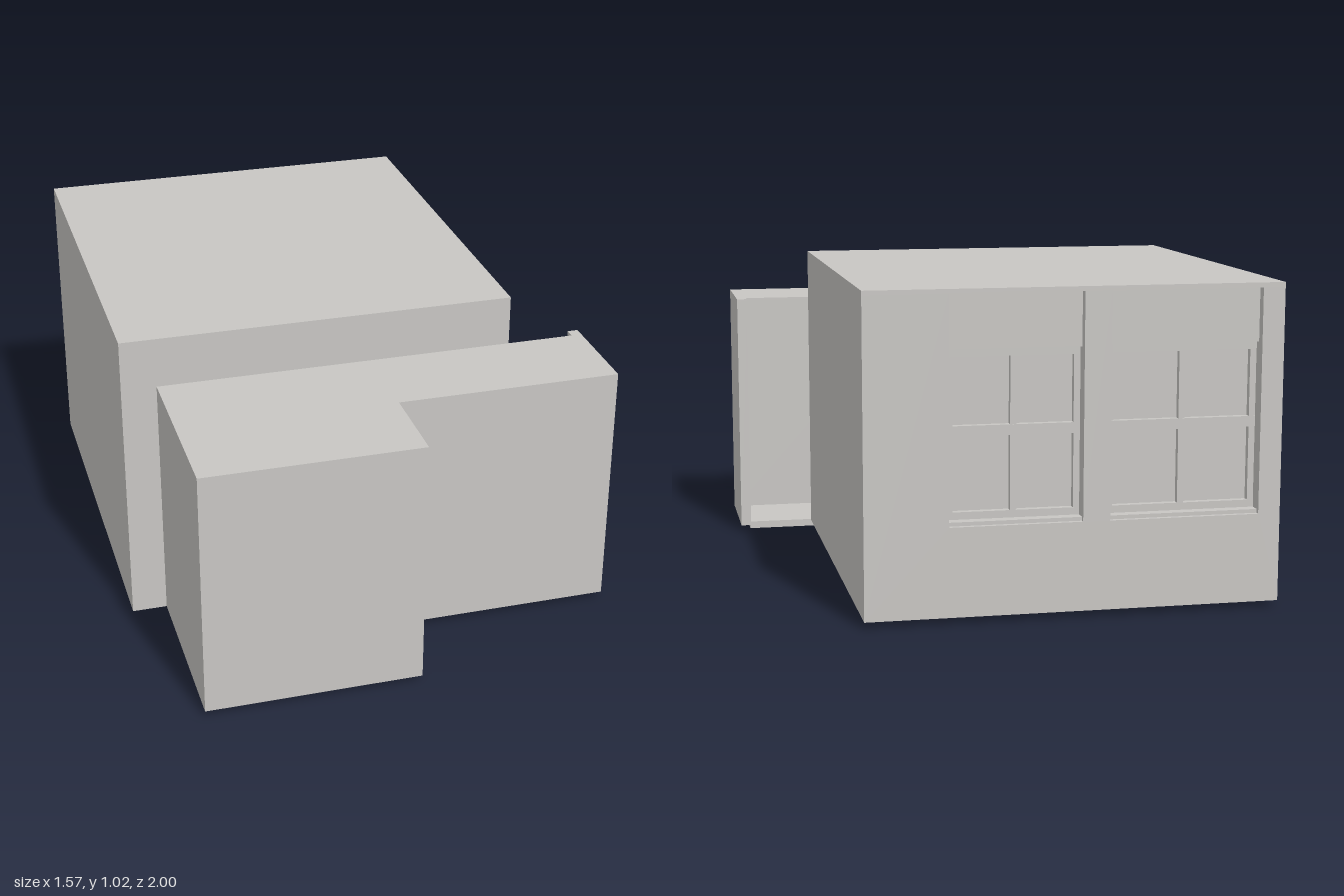
import * as THREE from 'three';

export function createModel() {
  const model = new THREE.Group();
  model.name = 'house';
  const plaster = new THREE.MeshStandardMaterial({ color: 0xc8c6c3 });
  plaster.name = 'plaster grey';

  // Box given by its minimum and maximum corners
  const box = (name, x0, x1, y0, y1, z0, z1, parent = model) => {
    const mesh = new THREE.Mesh(new THREE.BoxGeometry(x1 - x0, y1 - y0, z1 - z0), plaster);
    mesh.name = name;
    mesh.position.set((x0 + x1) / 2, (y0 + y1) / 2, (z0 + z1) / 2);
    parent.add(mesh);
    return mesh;
  };

  // Horizontal plate from an outline of [x, z] points
  const plate = (name, points, y0, y1) => {
    const shape = new THREE.Shape(points.map(([x, z]) => new THREE.Vector2(x, -z)));
    const geo = new THREE.ExtrudeGeometry(shape, { depth: y1 - y0, bevelEnabled: false });
    geo.rotateX(-Math.PI / 2).translate(0, y0, 0);
    const mesh = new THREE.Mesh(geo, plaster);
    mesh.name = name;
    model.add(mesh);
  };

  const T = 0.035;                 // wall thickness
  const base = 0.02;               // underside of the walls

  // Main room
  const mainTop = 1.005;
  box('mainRoof', -0.785, 0.52, mainTop, 1.02, -1, 0.39);
  box('mainRightWall', -0.785, -0.785 + T, base, mainTop, -0.875, 0.39);
  box('mainLeftWall', 0.52 - T, 0.52, base, mainTop, -0.875, 0.39);
  box('mainFrontWall', -0.785 + T, 0.52 - T, base, mainTop, 0.39 - T, 0.39);
  box('mainFloor', -0.745, 0.485, 0, base + 0.005, -0.875, 0.355);

  // Thick back wall with two tall openings up to the roof
  const sill = 0.30;
  const openings = [[-0.155, 0.26], [-0.715, -0.24]];
  const wall = new THREE.Shape();
  wall.moveTo(-0.785, base);
  wall.lineTo(0.52, base);
  wall.lineTo(0.52, mainTop);
  for (const [x0, x1] of openings) {
    wall.lineTo(x1, mainTop);
    wall.lineTo(x1, sill);
    wall.lineTo(x0, sill);
    wall.lineTo(x0, mainTop);
  }
  wall.lineTo(-0.785, mainTop);
  const backWall = new THREE.Mesh(
    new THREE.ExtrudeGeometry(wall, { depth: 0.125, bevelEnabled: false }).translate(0, 0, -1), plaster);
  backWall.name = 'mainBackWall';
  model.add(backWall);

  // Recessed windows: header panel, glass, 2 x 2 sash bars and a sill
  for (const [x0, x1] of openings) {
    const win = new THREE.Group();
    win.name = 'window';
    model.add(win);
    const mid = (x0 + x1) / 2;
    const z0 = -0.95, z1 = -0.91;
    box('windowHeader', x0, x1, 0.835, mainTop, -0.97, z1, win);
    box('windowGlass', x0, x1, sill, 0.835, -0.928, -0.92, win);
    for (const [y0, y1] of [[0.81, 0.835], [0.567, 0.60], [sill, 0.335]]) {
      box('sashRail', x0, x1, y0, y1, z0, z1, win);
    }
    for (const [a, b] of [[x0, x0 + 0.02], [mid - 0.01, mid + 0.01], [x1 - 0.02, x1]]) {
      box('sashStile', a, b, sill, 0.835, z0 + 0.001, z1, win);
    }
    box('windowSill', x0, x1, sill, 0.312, -0.985, z1, win);
  }

  // Lower L-shaped hall and porch in front, open behind its left end
  const hallTop = 0.846;
  plate('hallRoof', [
    [-0.67, 1], [0.04, 1], [0.04, 0.70], [0.78, 0.70],
    [0.78, 0.355], [0.745, 0.355], [0.745, 0.39], [-0.67, 0.39],
  ], hallTop, 0.853);
  box('hallRightWall', -0.67, -0.67 + T, base, hallTop, 0.39, 1);
  box('porchFrontWall', -0.67 + T, 0.04, base, hallTop, 1 - T, 1);
  box('porchLeftWall', 0.04 - T, 0.04, base, hallTop, 0.70 - T, 1 - T);
  box('hallFrontWall', 0.04, 0.78, base, hallTop, 0.70 - T, 0.70);
  box('hallEndWall', 0.78 - T, 0.78, base, hallTop, 0.355, 0.70 - T);
  plate('hallFloor', [
    [-0.633, 0.965], [0.003, 0.965], [0.003, 0.668], [0.745, 0.668],
    [0.745, 0.39], [-0.633, 0.39],
  ], 0, base + 0.005);

  // Small panel on the inside of the hall's front wall
  box('hallPanel', 0.10, 0.43, 0.437, 0.565, 0.657, 0.665);

  return model;
}
